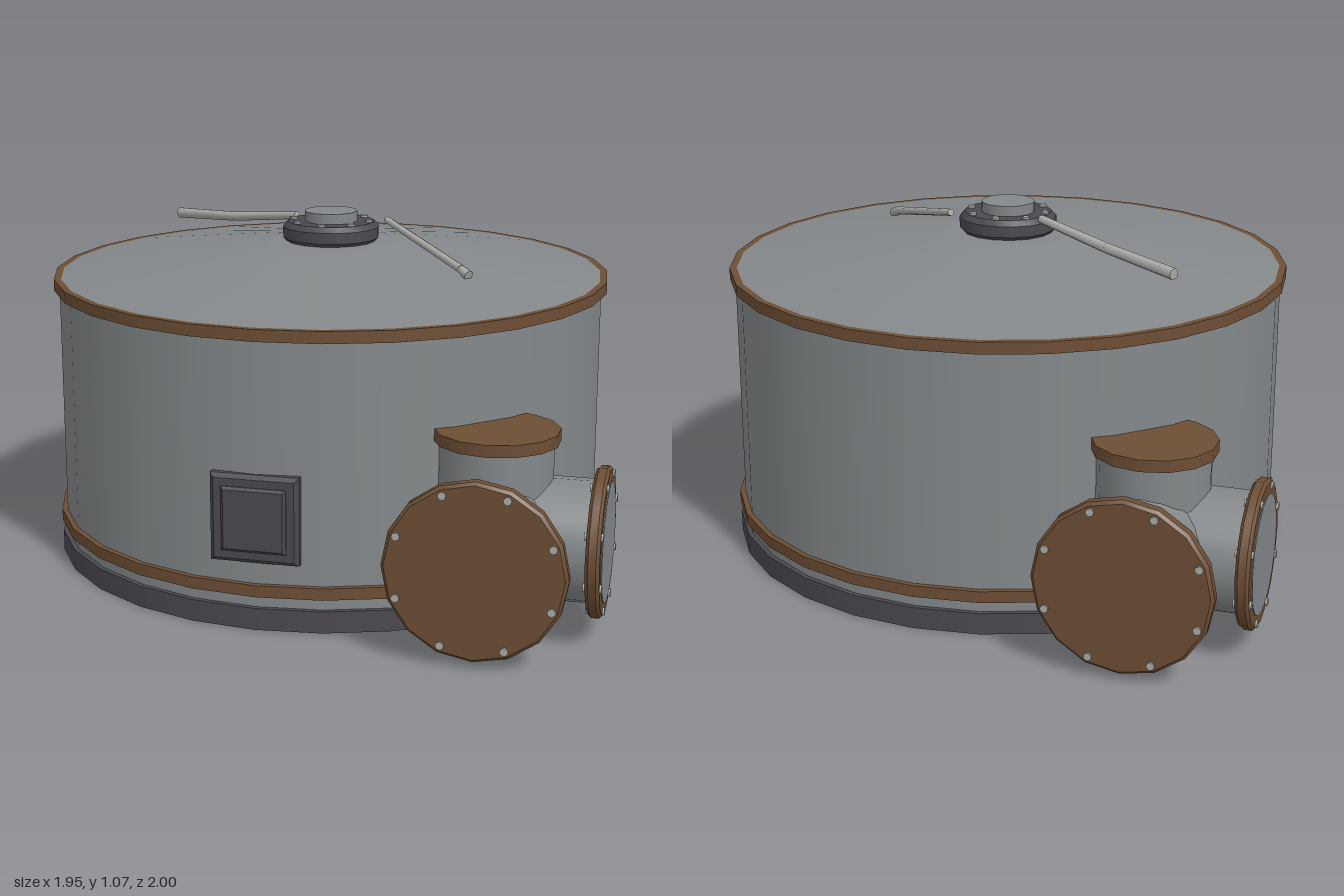
import * as THREE from 'three';
import { toCreasedNormals } from 'three/addons/utils/BufferGeometryUtils.js';

const material = (name, color) => {
  const m = new THREE.MeshStandardMaterial({ color });
  m.name = name;
  return m;
};

export function createModel() {
  const model = new THREE.Group();
  model.name = 'storageTank';
  const steel = material('grey steel', 0x84888a);
  const rust = material('rusty brown', 0x6d4e35);
  const dark = material('dark iron', 0x4b494f);
  const pale = material('pale metal', 0xabaca8);

  const add = (parent, name, geometry, mat, x = 0, y = 0, z = 0) => {
    const mesh = new THREE.Mesh(geometry, mat);
    mesh.name = name;
    mesh.position.set(x, y, z);
    parent.add(mesh);
    return mesh;
  };

  // Cylinder given by its bottom and top heights
  const drum = (parent, name, r, y0, y1, mat, sides = 28, rTop = r) =>
    add(parent, name, new THREE.CylinderGeometry(rTop, r, y1 - y0, sides), mat, 0, (y0 + y1) / 2, 0);

  // Bevelled disc standing on y = 0
  const bevelDisc = (r, h, b, sides) => {
    const profile = [[0, 0], [r - b, 0], [r, b], [r, h - b], [r - b, h], [0, h]];
    const lathe = new THREE.LatheGeometry(profile.map(p => new THREE.Vector2(...p)), sides);
    return toCreasedNormals(lathe, 0.6);
  };

  // Ring of small bolts around the y axis
  const boltRing = (parent, radius, y0, y1, size, offset) => {
    for (let i = 0; i < 8; i++) {
      const a = offset + i * Math.PI / 4;
      const bolt = drum(parent, 'bolt', size, y0, y1, pale, 8);
      bolt.position.x = radius * Math.cos(a);
      bolt.position.z = radius * Math.sin(a);
    }
  };

  // Tank shell, base, bands and roof
  drum(model, 'base', 0.87, 0, 0.065, dark);
  drum(model, 'shell', 0.855, 0.06, 0.87, steel);
  drum(model, 'lowerBand', 0.872, 0.1, 0.135, rust);
  drum(model, 'upperBand', 0.872, 0.845, 0.88, rust);
  drum(model, 'roof', 0.857, 0.879, 0.975, steel, 28, 0.2);

  // Bolted hatch in the middle of the roof
  const hatch = new THREE.Group();
  hatch.name = 'hatch';
  hatch.position.y = 0.97;
  model.add(hatch);
  add(hatch, 'hatchRim', bevelDisc(0.152, 0.066, 0.016, 16), dark);
  drum(hatch, 'hatchCap', 0.083, 0.05, 0.098, steel, 20);
  boltRing(hatch, 0.122, 0.06, 0.073, 0.012, 0);

  // Rods lying on the roof
  const rod = (name, points, r) => {
    for (let i = 0; i < points.length - 1; i++) {
      const a = new THREE.Vector3(...points[i]);
      const b = new THREE.Vector3(...points[i + 1]);
      const d = b.clone().sub(a);
      const piece = add(model, name, new THREE.CylinderGeometry(r[i + 1], r[i], d.length(), 8), pale);
      piece.position.copy(a).add(b).multiplyScalar(0.5);
      piece.quaternion.setFromUnitVectors(new THREE.Vector3(0, 1, 0), d.normalize());
    }
  };
  rod('longRod', [[-0.13, 1.035, -0.07], [-0.38, 0.998, -0.21], [-0.62, 0.977, -0.352]], [0.013, 0.016, 0.018]);
  rod('shortRod', [[0.165, 1.033, -0.07], [0.46, 0.947, 0.23], [0.488, 0.933, 0.256]], [0.011, 0.013, 0.016]);

  // Inspection panel with a raised, bevelled door
  const plate = (name, half, z0, depth, bevel) => {
    const h = half - bevel;
    const s = new THREE.Shape([[-h, -h], [h, -h], [h, h], [-h, h]].map(p => new THREE.Vector2(...p)));
    const g = new THREE.ExtrudeGeometry(s, {
      depth: depth - 2 * bevel, bevelSize: bevel, bevelThickness: bevel, bevelSegments: 1,
    });
    add(model, name, g, dark, 0, 0.33, z0 + bevel);
  };
  plate('panelFrame', 0.13, 0.82, 0.053, 0.012);
  plate('panelDoor', 0.095, 0.85, 0.034, 0.008);

  // Flange on a pipe, facing up its own y axis
  const flangedPipe = (parent, name, pipeR, flangeR, length, thickness) => {
    const g = new THREE.Group();
    g.name = name;
    parent.add(g);
    drum(g, 'pipe', pipeR, 0, length - thickness / 2, steel, 20);
    add(g, 'flange', bevelDisc(flangeR, thickness, 0.009, 16), rust, 0, length - thickness, 0);
    boltRing(g, flangeR * 0.9, length - thickness - 0.006, length + 0.006, 0.012, Math.PI / 8);
    return g;
  };

  // Pipe junctions at two opposite corners
  for (const [name, turn] of [['frontJunction', 0], ['rearJunction', Math.PI]]) {
    const corner = new THREE.Group();
    corner.name = name;
    corner.rotation.y = turn;
    model.add(corner);
    const junction = new THREE.Group();
    junction.name = 'pipeJunction';
    junction.position.set(0.648, 0.275, 0.648);
    corner.add(junction);

    drum(junction, 'uprightPipe', 0.163, -0.263, 0.28, steel, 20);
    drum(junction, 'uprightCap', 0.18, 0.275, 0.31, rust, 14);

    const main = flangedPipe(junction, 'mainOutlet', 0.188, 0.256, 0.346, 0.044);
    main.rotation.x = Math.PI / 2;

    const side = flangedPipe(junction, 'sideOutlet', 0.175, 0.215, 0.32, 0.04);
    side.rotation.z = -Math.PI / 2;
    drum(side, 'sideOutletFace', 0.173, 0.318, 0.323, steel, 20);
  }

  return model;
}
